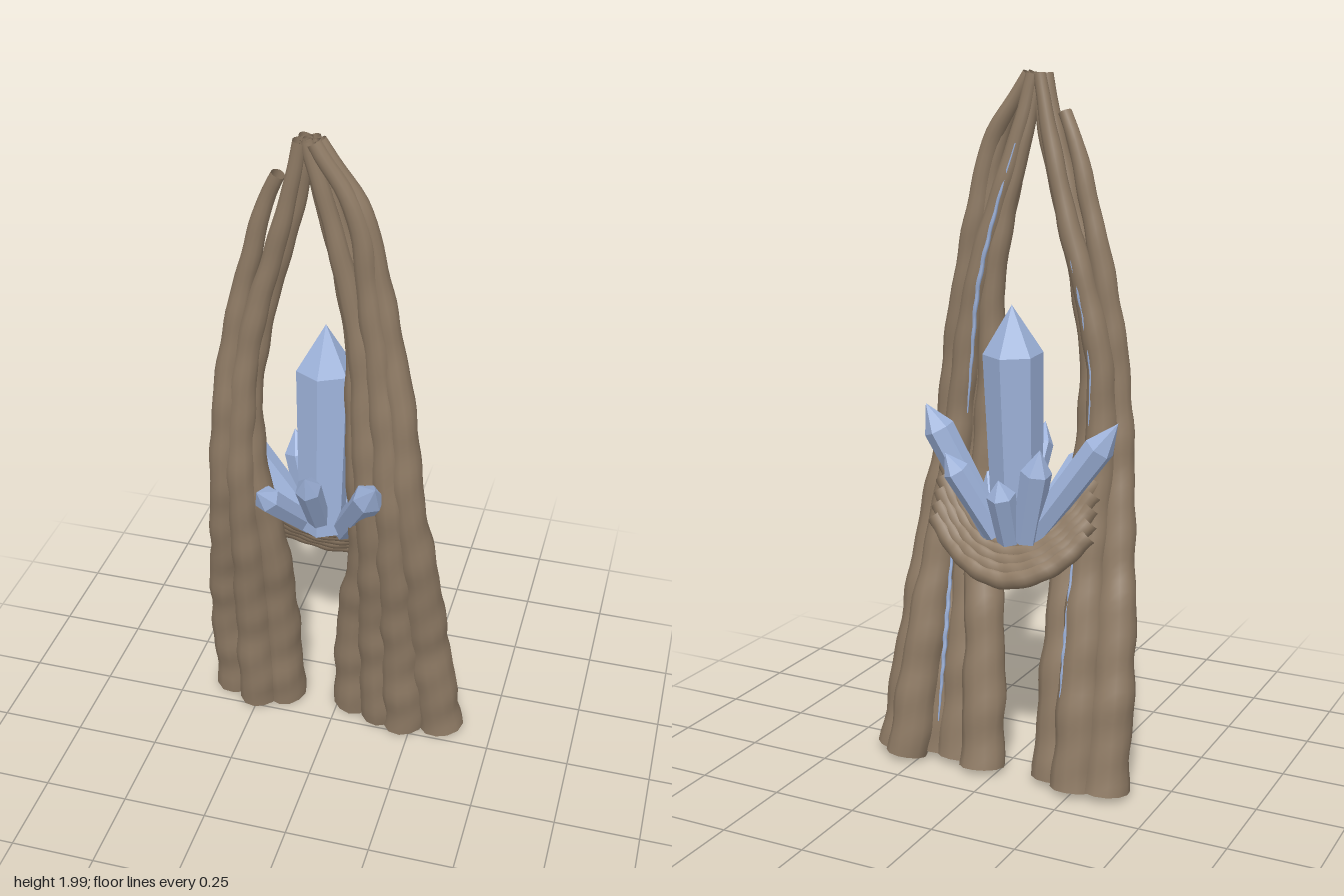
import * as THREE from 'three';
import { mergeGeometries, mergeVertices } from 'three/addons/utils/BufferGeometryUtils.js';

const V = (x, y, z) => new THREE.Vector3(x, y, z);

// Linear lookup in evenly spaced samples, t in 0..1
function sample(list, t) {
  const f = Math.min(Math.max(t, 0), 1) * (list.length - 1);
  const i = Math.min(Math.floor(f), list.length - 2);
  return list[i] + (list[i + 1] - list[i]) * (f - i);
}

// Tube whose radius follows a rule along its length and around its section
function roughTube(curve, steps, sides, radius) {
  const geo = new THREE.TubeGeometry(curve, steps, 1, sides, false);
  const pos = geo.attributes.position;
  const p = V(0, 0, 0);
  for (let i = 0; i <= steps; i++) {
    const c = curve.getPointAt(i / steps);
    for (let j = 0; j <= sides; j++) {
      const k = i * (sides + 1) + j;
      p.fromBufferAttribute(pos, k).sub(c).multiplyScalar(radius(i / steps, (j % sides) / sides * Math.PI * 2)).add(c);
      pos.setXYZ(k, p.x, p.y, p.z);
    }
  }
  geo.deleteAttribute('uv');
  geo.deleteAttribute('normal');
  const smooth = mergeVertices(geo, 1e-5);
  smooth.computeVertexNormals();
  return smooth;
}

// Shared heights, depth line and thickness of the root strands
const HEIGHTS = [0.015, 0.4, 0.7, 0.95, 1.2, 1.4, 1.6, 1.8, 1.985];
const DEPTHS = [-0.08, -0.03, 0.035, 0.07, 0.068, 0.062, 0.064, 0.076, 0.088];
const RADII = [0.068, 0.065, 0.059, 0.051, 0.047, 0.041, 0.034, 0.027, 0.019];

// x at each height, z offset in radii (bottom, middle, top), thickness factor
const LEFT_STRANDS = [
  { x: [-0.335, -0.335, -0.308, -0.288, -0.272, -0.248, -0.205, -0.15, -0.112], z: [-0.3, 0.4, 0], r: 1, top: 1.885 },
  { x: [-0.25, -0.245, -0.235, -0.235, -0.225, -0.2, -0.147, -0.09, -0.05], z: [0.5, 0.5, 0.8], r: 0.95 },
  { x: [-0.175, -0.175, -0.175, -0.205, -0.215, -0.185, -0.133, -0.07, -0.03], z: [0, 0, 0], r: 0.95 },
  { x: [-0.25, -0.25, -0.24, -0.25, -0.245, -0.205, -0.145, -0.09, -0.045], z: [-0.6, -0.55, -0.95], r: 0.95 },
];
const RIGHT_STRANDS = [
  { x: [0.338, 0.295, 0.275, 0.243, 0.222, 0.188, 0.15, 0.106, -0.005], z: [0.1, 0.4, 0], r: 1 },
  { x: [0.225, 0.215, 0.205, 0.195, 0.175, 0.15, 0.122, 0.092, -0.015], z: [0.45, 0.5, 0.8], r: 1 },
  { x: [0.145, 0.14, 0.145, 0.135, 0.12, 0.105, 0.065, 0.018, -0.035], z: [0.2, 0.3, 0.6], r: 0.95 },
  { x: [0.048, 0.068, 0.11, 0.107, 0.095, 0.088, 0.052, 0.003, -0.04], z: [-0.3, -0.3, -0.4], r: 0.95 },
  { x: [0.29, 0.25, 0.225, 0.2, 0.17, 0.135, 0.08, 0.018, -0.025], z: [-0.6, -0.55, -0.95], r: 0.92 },
];

function strandPoints(s) {
  return HEIGHTS.map((y, i) => V(s.x[i], i === 8 && s.top ? s.top : y, DEPTHS[i] + sample(s.z, i / 8) * RADII[i]));
}

function strandGeometry(s, seed) {
  const curve = new THREE.CatmullRomCurve3(strandPoints(s));
  const knobs = (t, a) => 1
    + 0.045 * Math.sin(t * 48 + seed * 2.1 + Math.sin(a + seed))
    + 0.035 * Math.sin(t * 83 + seed * 4.7 + a)
    + 0.035 * Math.sin(a * 3 + seed + t * 5);
  return roughTube(curve, 64, 12, (t, a) => sample(RADII, t) * s.r * knobs(t, a));
}

// Thin crystal vein lying in the groove between two strands, on the back
function veinGeometry(a, b, from, to) {
  const pa = strandPoints(a), pb = strandPoints(b);
  const pts = [];
  for (let i = from; i <= to; i++) {
    const p = pa[i].clone().add(pb[i]).multiplyScalar(0.5);
    p.z -= RADII[i] * 0.95;
    pts.push(p);
  }
  pts[0].lerp(pts[1], 0.35);
  return roughTube(new THREE.CatmullRomCurve3(pts), 40, 5,
    (t, ang) => 0.002 + 0.006 * Math.sin(Math.PI * t) * (0.8 + 0.3 * Math.sin(t * 60 + ang)));
}

// Six-sided crystal with a pointed end, faceted
function crystalGeometry(r, length, tip) {
  const body = new THREE.CylinderGeometry(r, r * 0.85, length - tip, 6).translate(0, (length - tip) / 2, 0);
  const point = new THREE.ConeGeometry(r, tip, 6, 1, true).translate(0, length - tip / 2, 0);
  const geo = mergeGeometries([body.toNonIndexed(), point.toNonIndexed()]);
  geo.computeVertexNormals();
  return geo;
}

export function createModel() {
  const bark = new THREE.MeshStandardMaterial({ color: 0x8f7b65, side: THREE.DoubleSide });
  bark.name = 'bark brown';
  const blue = new THREE.MeshStandardMaterial({ color: 0x9fb4dc });
  blue.name = 'crystal blue';

  const model = new THREE.Group();
  model.name = 'crystalArch';
  const add = (parent, name, geo, mat) => {
    const mesh = new THREE.Mesh(geo, mat);
    mesh.name = name;
    parent.add(mesh);
    return mesh;
  };
  const group = (name) => {
    const g = new THREE.Group();
    g.name = name;
    model.add(g);
    return g;
  };

  // Two bundles of root strands leaning together into an arch
  const trunks = [['rightTrunk', LEFT_STRANDS, 1], ['leftTrunk', RIGHT_STRANDS, 7]];
  for (const [name, strands, seed] of trunks) {
    const g = group(name);
    strands.forEach((s, i) => add(g, 'rootStrand', strandGeometry(s, seed + i), bark));
  }

  // Short veins in the grooves at the back
  const veins = group('crystalVeins');
  const [, , l2, l3] = LEFT_STRANDS;
  const [r0, , , r3, r4] = RIGHT_STRANDS;
  for (const [a, b, from, to] of [[l3, l2, 0, 2], [l3, l2, 3, 7], [r0, r4, 0, 2], [r4, r3, 0, 2], [r4, r3, 3, 7]]) {
    add(veins, 'vein', veinGeometry(a, b, from, to), blue);
  }

  // Sagging cradle of stacked ropes slung behind the trunks
  const cradle = group('cradle');
  for (let i = 0; i < 6; i++) {
    const y = 0.715 - 0.022 * i, z = -0.06 - 0.0135 * i;
    const endY = 0.92 - 0.036 * i, endZ = 0.005 - 0.014 * i;
    const midY = y + (endY - y) * 0.45;
    const curve = new THREE.CatmullRomCurve3([
      V(-0.25, endY, endZ + 0.02),
      V(-0.185, midY, endZ - 0.025),
      V(-0.11, y + 0.018, z + 0.006),
      V(-0.03, y, z),
      V(0.055, y + 0.018, z + 0.006),
      V(0.14, midY, endZ - 0.025),
      V(0.21, endY, endZ),
    ]);
    add(cradle, 'rope', roughTube(curve, 36, 10,
      (t, a) => (0.025 + 0.001 * i) * (1 + 0.05 * Math.sin(t * 50 + i * 2 + a))), bark);
  }

  // Crystal cluster: base, tip, radius, point length
  const crystals = group('crystals');
  const cluster = [
    [[-0.038, 0.72, -0.048], [-0.038, 1.375, -0.086], 0.084, 0.135],
    [[0.025, 0.72, -0.05], [0.175, 1.04, 0.185], 0.045, 0.08],
    [[-0.085, 0.72, -0.05], [-0.175, 0.945, 0.15], 0.039, 0.06],
    [[-0.04, 0.72, -0.04], [-0.038, 1.005, 0.135], 0.038, 0.065],
    [[-0.09, 0.72, -0.07], [-0.345, 1.07, -0.06], 0.044, 0.09],
    [[0.02, 0.72, -0.08], [0.2, 1.09, -0.145], 0.044, 0.08],
    [[0.01, 0.72, -0.09], [0.13, 0.96, -0.165], 0.038, 0.06],
    [[-0.035, 0.71, -0.095], [-0.035, 0.9, -0.165], 0.041, 0.05],
    [[-0.08, 0.715, -0.085], [-0.145, 0.99, -0.13], 0.044, 0.07],
  ];
  for (const [base, tip, r, point] of cluster) {
    const b = V(...base), dir = V(...tip).sub(b);
    const mesh = add(crystals, 'crystal', crystalGeometry(r, dir.length(), point), blue);
    mesh.position.copy(b);
    mesh.quaternion.setFromUnitVectors(V(0, 1, 0), dir.normalize());
  }
  return model;
}
